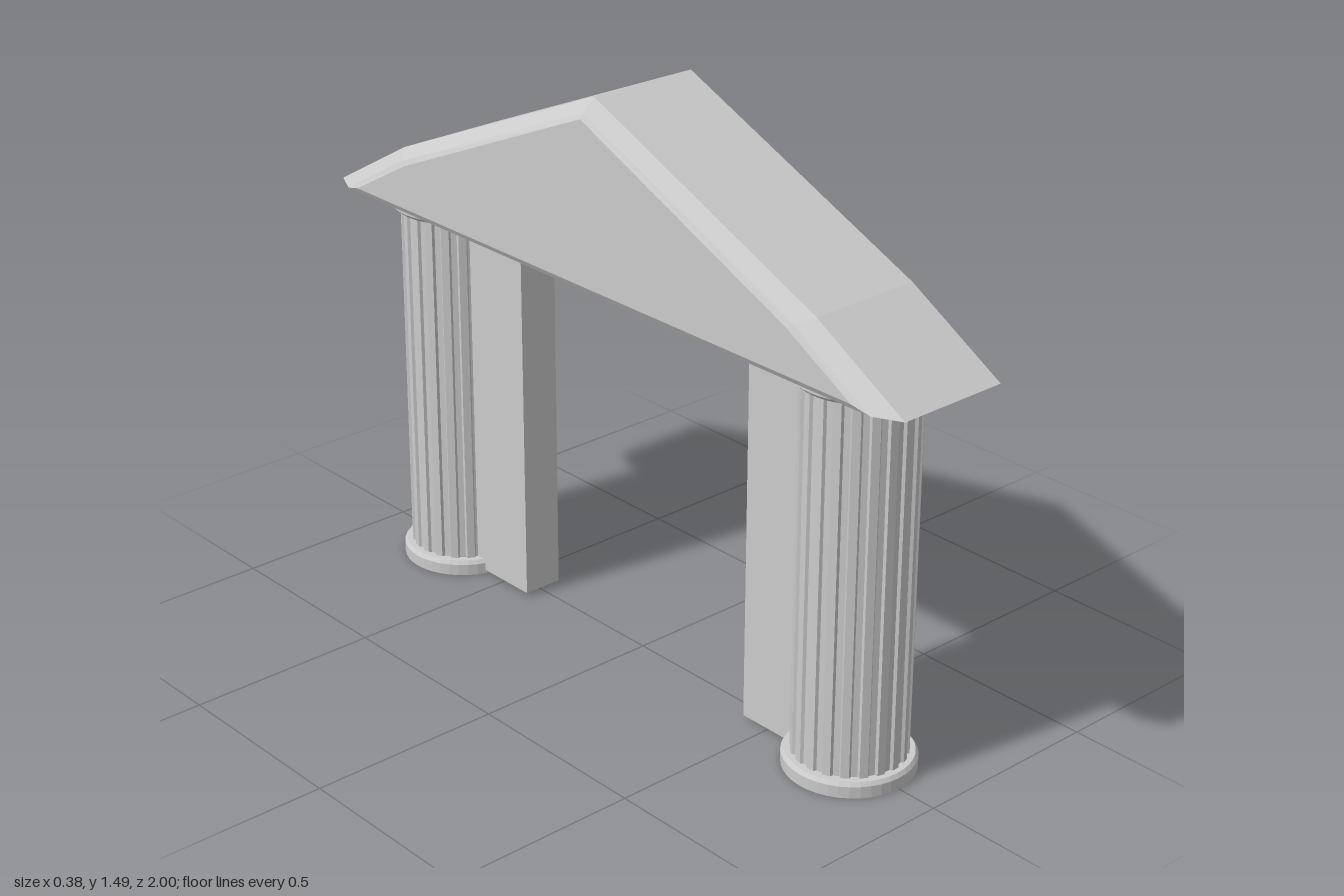
import * as THREE from 'three';

const material = new THREE.MeshStandardMaterial({ color: 0xcccccc, flatShading: true });

function addMesh(parent, name, geometry, x = 0, y = 0, z = 0) {
  const mesh = new THREE.Mesh(geometry, material);
  mesh.name = name;
  mesh.position.set(x, y, z);
  parent.add(mesh);
  return mesh;
}

// Column: moulded base, fluted shaft, moulded capital
function makeColumn(name, z) {
  const column = new THREE.Group();
  column.name = name;
  column.position.z = z;

  const lathe = (pts) => new THREE.LatheGeometry(pts.map(([r, y]) => new THREE.Vector2(r, y)), 40);
  addMesh(column, 'columnBase', lathe([[0, 0], [0.162, 0], [0.162, 0.03], [0.155, 0.04], [0, 0.04]]));
  addMesh(column, 'columnCapital', lathe([[0, 0.99], [0.152, 0.99], [0.163, 1.0], [0.163, 1.022], [0, 1.022]]));

  const flutes = 20;
  const section = [];
  for (let i = 0; i < flutes; i++) {
    for (const [t, r] of [[0, 0.141], [0.45, 0.141], [0.55, 0.134], [0.9, 0.134]]) {
      const a = ((i + t) / flutes) * Math.PI * 2;
      section.push(new THREE.Vector2(Math.cos(a) * r, Math.sin(a) * r));
    }
  }
  const shaft = new THREE.ExtrudeGeometry(new THREE.Shape(section), { depth: 0.96, bevelEnabled: false });
  shaft.rotateX(-Math.PI / 2);
  addMesh(column, 'columnShaft', shaft, 0, 0.035, 0);
  return column;
}

// Roof: gable outlines [z, y] lofted along x, stepping in at both faces
function makeRoofGeometry() {
  const outlines = [
    { x: 0.15, tip: [1, 1.02], kink: [0.73, 1.175], top: 1.49 },
    { x: 0.184, tip: [0.93, 1.02], kink: [0.695, 1.157], top: 1.457 },
    { x: 0.192, tip: [0.88, 1.034], kink: [0.68, 1.147], top: 1.445 },
  ];
  const loop = (o, side) =>
    [[o.tip[0], o.tip[1]], [o.kink[0], o.kink[1]], [0, o.top], [-o.kink[0], o.kink[1]], [-o.tip[0], o.tip[1]]]
      .map(([z, y]) => [side * o.x, y, z]);
  const loops = [
    ...outlines.slice().reverse().map((o) => loop(o, -1)),
    ...outlines.map((o) => loop(o, 1)),
  ];
  const positions = [];
  const tri = (a, b, c) => positions.push(...a, ...b, ...c);
  const n = 5;
  for (let i = 0; i < loops.length - 1; i++) {
    for (let j = 0; j < n; j++) {
      const k = (j + 1) % n;
      const a = loops[i][j], b = loops[i + 1][j], c = loops[i + 1][k], d = loops[i][k];
      tri(a, b, c);
      tri(a, c, d);
    }
  }
  // Gable panels, fanned from the apex
  const left = loops[loops.length - 1], right = loops[0];
  for (const [p, q] of [[3, 4], [4, 0], [0, 1]]) {
    tri(left[2], left[q], left[p]);
    tri(right[2], right[p], right[q]);
  }
  const geometry = new THREE.BufferGeometry();
  geometry.setAttribute('position', new THREE.Float32BufferAttribute(positions, 3));
  geometry.computeVertexNormals();
  return geometry;
}

export function createModel() {
  const model = new THREE.Group();
  model.name = 'gatePortico';

  const columnZ = { frontColumn: 0.729, backColumn: -0.721 };
  for (const [name, z] of Object.entries(columnZ)) model.add(makeColumn(name, z));

  // Door frame: two jambs running into the columns, and a lintel
  const thickness = 0.108;
  const addFrame = (name, z0, z1, y0, y1) =>
    addMesh(model, name, new THREE.BoxGeometry(thickness, y1 - y0, z1 - z0), 0, (y0 + y1) / 2, (z0 + z1) / 2);
  addFrame('frontJamb', 0.425, 0.7, 0.01, 1.025);
  addFrame('backJamb', -0.7, -0.395, 0.01, 1.025);
  addFrame('lintel', -0.395, 0.425, 0.965, 1.025);

  addMesh(model, 'roof', makeRoofGeometry());
  return model;
}
